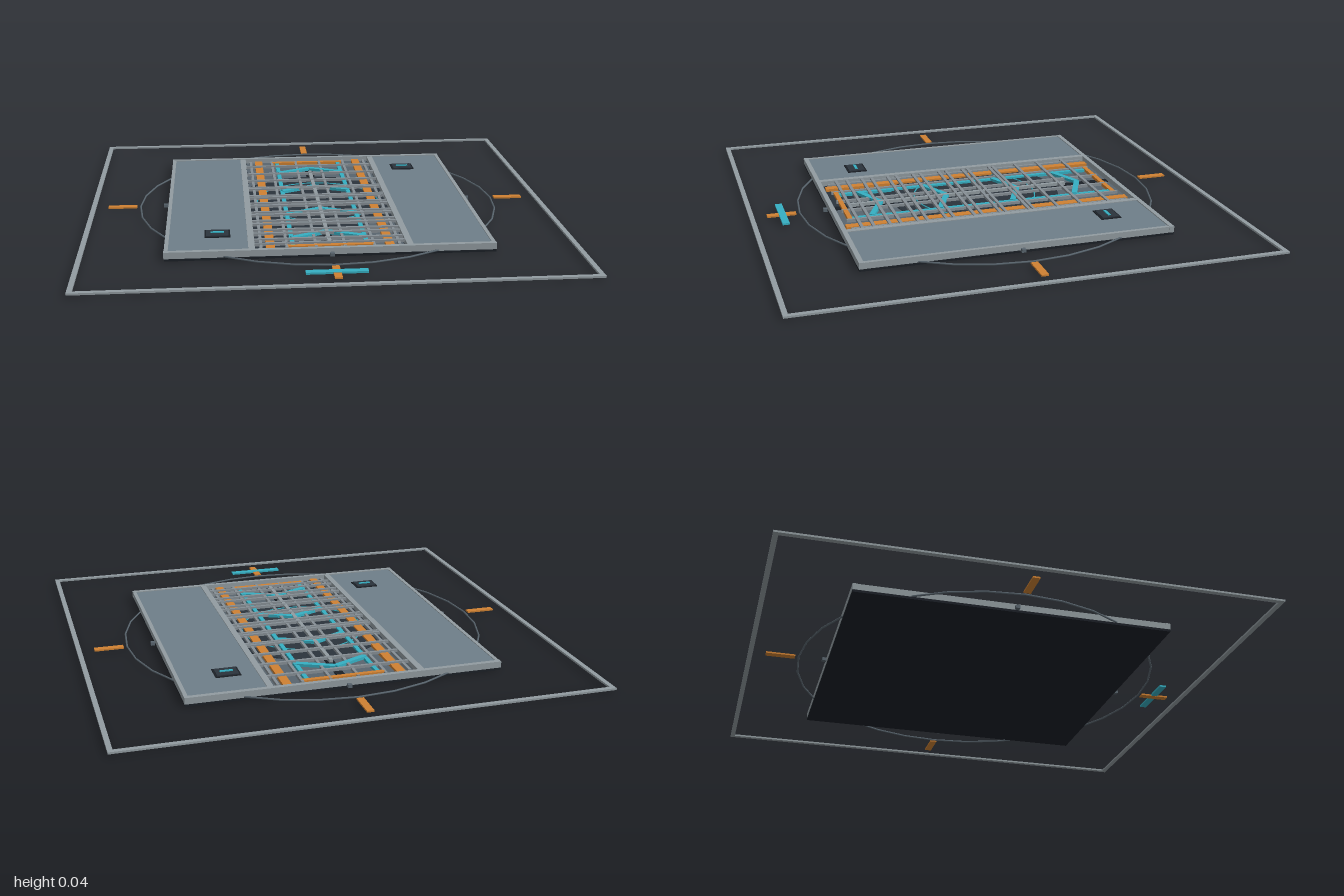
import * as THREE from 'three';

const mat = (color) => new THREE.MeshStandardMaterial({ color });
const M = {
  panel: mat(0x6f7f89), rail: mat(0x929ca1), bar: mat(0x868f95), slate: mat(0x59656e),
  dark: mat(0x2b333c), black: mat(0x1b2027), orange: mat(0xcf8132), cyan: mat(0x36afc2),
};

export function createModel() {
  const model = new THREE.Group();

  const group = (name) => {
    const g = new THREE.Group();
    g.name = name;
    model.add(g);
    return g;
  };
  // Box given by centre x, z, size x, z and its bottom and top heights
  const box = (parent, name, material, x, z, w, d, y0, y1) => {
    const m = new THREE.Mesh(new THREE.BoxGeometry(w, y1 - y0, d), material);
    m.name = name;
    m.position.set(x, (y0 + y1) / 2, z);
    parent.add(m);
    return m;
  };
  // Flat bar between two points on the ground plan
  const strut = (parent, name, material, x0, z0, x1, z1, width, y0, y1) => {
    const m = box(parent, name, material, (x0 + x1) / 2, (z0 + z1) / 2,
      Math.hypot(x1 - x0, z1 - z0), width, y0, y1);
    m.rotation.y = -Math.atan2(z1 - z0, x1 - x0);
  };
  const ring = (parent, name, material, radius, tube, y, segments) => {
    const m = new THREE.Mesh(new THREE.TorusGeometry(radius, tube, 6, segments), material);
    m.name = name;
    m.rotation.x = Math.PI / 2;
    m.position.y = y;
    parent.add(m);
  };

  // Outer square border, thin ring and direction ticks
  const border = group('outerBorder');
  for (const s of [-1, 1]) {
    box(border, 'borderEnd', M.rail, 0, s * 0.99, 2, 0.02, 0.01, 0.018);
    box(border, 'borderSide', M.rail, s * 0.99, 0, 0.02, 1.96, 0.01, 0.018);
  }
  ring(model, 'outerRing', M.slate, 0.785, 0.004, 0.013, 32);
  const ticks = group('directionTicks');
  for (const s of [-1, 1]) {
    box(ticks, 'sideTick', M.orange, s * 0.863, 0, 0.125, 0.03, 0.01, 0.017);
    box(ticks, 'endTick', M.orange, 0, s * 0.863, 0.03, 0.125, 0.01, 0.017);
  }
  box(ticks, 'frontMarker', M.cyan, 0, 0.86, 0.24, 0.03, 0.011, 0.019);

  // Base plate with raised rim
  const tile = group('tile');
  box(tile, 'basePlate', M.black, 0, 0, 1.32, 1.32, 0, 0.012);
  for (const s of [-1, 1]) {
    box(tile, 'endRim', M.rail, 0, s * 0.651, 1.324, 0.02, 0.01, 0.037);
    box(tile, 'sideRim', M.rail, s * 0.653, 0, 0.016, 1.284, 0.01, 0.036);
    box(tile, 'deckPanel', M.panel, s * 0.487, 0, 0.316, 1.284, 0.012, 0.033);
    box(tile, 'channelRail', M.rail, s * 0.316, 0, 0.026, 1.284, 0.012, 0.036);
    // Small studs outside each edge
    box(tile, 'sideStud', M.slate, s * 0.674, 0, 0.018, 0.018, 0.008, 0.022);
    box(tile, 'endStud', M.slate, 0, s * 0.674, 0.018, 0.018, 0.008, 0.022);
  }

  // Recessed channel floor
  const floor = group('channelFloor');
  box(floor, 'floor', M.dark, 0, 0, 0.606, 1.284, 0.01, 0.013);
  box(floor, 'rightBackPlate', M.slate, -0.16, -0.32, 0.28, 0.64, 0.012, 0.014);
  box(floor, 'leftPlate', M.slate, 0.16, 0, 0.28, 1.28, 0.012, 0.014);
  box(floor, 'centreSeam', M.black, 0, 0, 0.035, 1.28, 0.012, 0.017);

  // Round well, clipped by the channel walls
  const half = 0.3, radius = 0.375, a = Math.acos(half / radius);
  const outline = new THREE.Shape();
  outline.absarc(0, 0, radius, a, Math.PI - a, false);
  outline.absarc(0, 0, radius, Math.PI + a, 2 * Math.PI - a, false);
  const well = new THREE.Mesh(
    new THREE.ExtrudeGeometry(outline, { depth: 0.003, bevelEnabled: false, curveSegments: 16 }), M.dark);
  well.name = 'roundWell';
  well.rotation.x = -Math.PI / 2;
  well.position.y = 0.0145;
  model.add(well);
  ring(model, 'wellRing', M.cyan, 0.27, 0.003, 0.018, 32);

  // Lengthwise bars and cyan chevrons
  const lattice = group('lattice');
  for (const s of [-1, 1]) {
    box(lattice, 'orangeBeam', M.orange, s * 0.24, 0, 0.036, 1.26, 0.014, 0.026);
    box(lattice, 'cyanRail', M.cyan, s * 0.15, 0, 0.018, 1.2, 0.014, 0.026);
    box(lattice, 'orangeCrossbar', M.orange, 0, s * 0.597, 0.35, 0.02, 0.016, 0.029);
    for (const x of [0.058, 0.175, 0.278])
      box(lattice, 'longBar', M.bar, s * x, 0, 0.012, 1.23, 0.016, 0.029);
    for (const z of [-0.49, -0.2, 0.13, 0.43])
      strut(lattice, 'chevronArm', M.cyan, 0, z, s * 0.15, z + 0.07, 0.024, 0.018, 0.03);
  }
  box(lattice, 'centreBar', M.rail, 0, 0.07, 0.016, 1.0, 0.017, 0.031);

  // Crossbars over the channel
  const crossbars = [-0.525, -0.4, -0.29, -0.18, -0.16, -0.055, -0.03, 0.05, 0.085,
    0.175, 0.21, 0.29, 0.33, 0.405, 0.45, 0.52, 0.57];
  for (const z of crossbars)
    box(lattice, 'crossbar', M.bar, 0, z, 0.61, 0.013, 0.021, 0.033);

  // Two raised pads on opposite corners of the deck
  for (const s of [-1, 1]) {
    const pad = group('controlPad');
    box(pad, 'padBase', M.black, s * 0.45, s * -0.45, 0.105, 0.088, 0.032, 0.037);
    box(pad, 'padTop', M.dark, s * 0.45, s * -0.45, 0.09, 0.073, 0.036, 0.04);
    box(pad, 'padLight', M.cyan, s * 0.45, s * -0.45, 0.055, 0.012, 0.039, 0.044);
  }

  return model;
}
